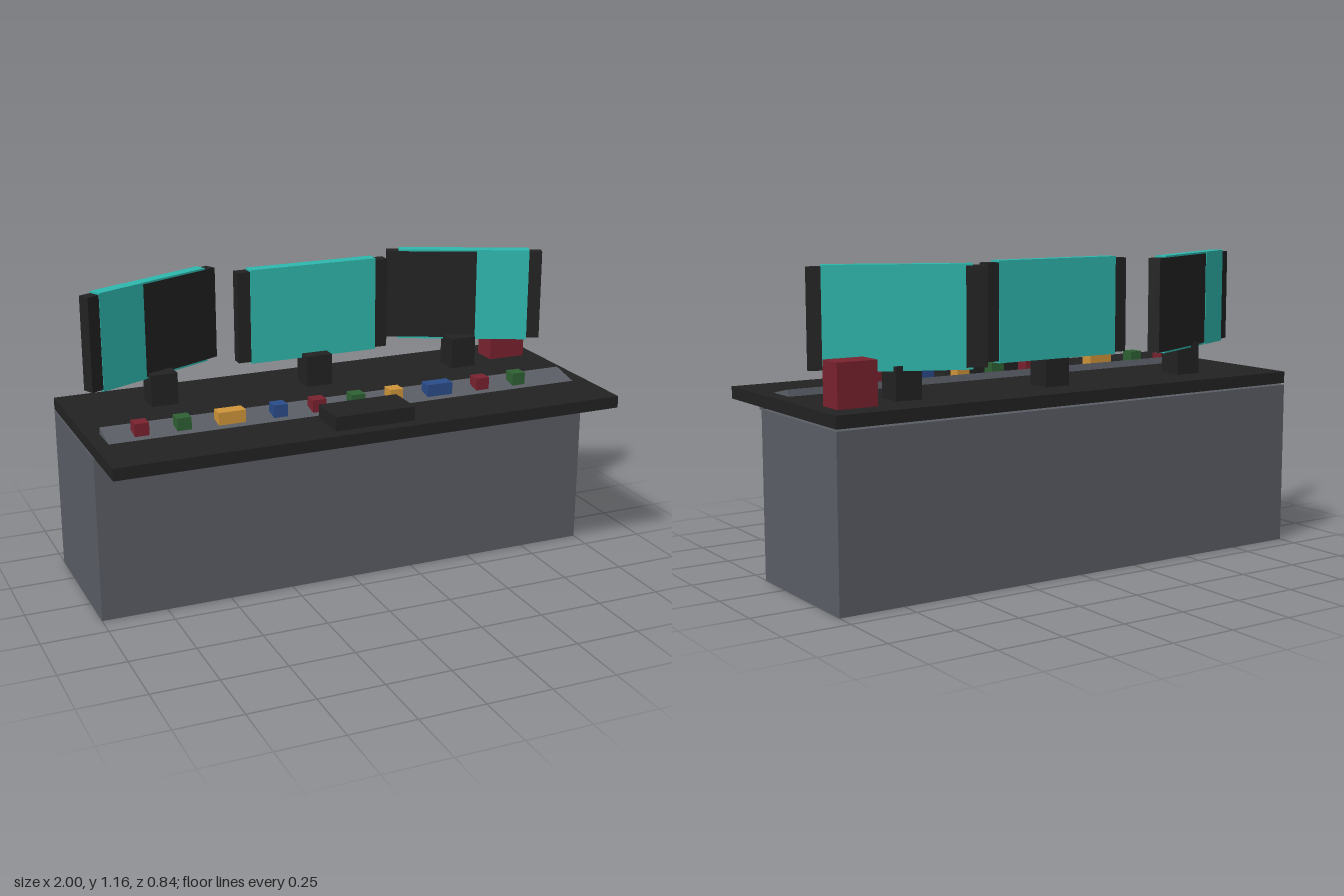
import * as THREE from 'three';

const mat = (name, color) => {
  const m = new THREE.MeshStandardMaterial({ color });
  m.name = name;
  return m;
};

export function createModel() {
  const root = new THREE.Group();
  root.name = 'controlDesk';

  const grey = mat('steelGrey', 0x5a5d65);
  const black = mat('black', 0x222222);
  const teal = mat('screenTeal', 0x2eb8ae);
  const red = mat('red', 0x7a222f);
  const green = mat('green', 0x2f6134);
  const amber = mat('amber', 0xcf9439);
  const blue = mat('blue', 0x2a4c8a);

  // Box from size and centre
  const box = (parent, name, material, [w, h, d], [x, y, z]) => {
    const mesh = new THREE.Mesh(new THREE.BoxGeometry(w, h, d), material);
    mesh.name = name;
    mesh.position.set(x, y, z);
    parent.add(mesh);
    return mesh;
  };

  // Cabinet and worktop, with a narrow shadow gap between them
  box(root, 'cabinet', grey, [2, 0.632, 0.58], [0, 0.316, -0.13]);
  box(root, 'worktop', black, [2, 0.046, 0.84], [0, 0.662, 0]);

  // Sloping button panel set into the worktop
  const panel = box(root, 'buttonPanel', grey, [1.89, 0.05, 0.26], [-0.003, 0.659, 0.1825]);
  panel.rotation.x = THREE.MathUtils.degToRad(12);

  // Row of buttons; the third and eighth are wide
  const buttonX = [-0.818, -0.66, -0.478, -0.289, -0.134, 0.024, 0.182, 0.366, 0.551, 0.711];
  const buttonColours = [red, green, amber, blue];
  buttonX.forEach((x, i) => {
    const colour = i < 8 ? buttonColours[i % 4] : [red, green][i - 8];
    const width = i === 2 || i === 7 ? 0.105 : 0.054;
    box(root, 'button', colour, [width, 0.053, 0.054], [x, 0.7115, 0.129]);
  });

  box(root, 'keyboard', black, [0.315, 0.055, 0.16], [-0.003, 0.711, 0.289]);
  box(root, 'handset', red, [0.155, 0.213, 0.105], [0.8625, 0.7385, -0.2625]);

  // Monitor: dark housing with a slightly taller screen block through it
  const monitor = (name, x, z, yaw, depth) => {
    const g = new THREE.Group();
    g.name = name;
    g.position.set(x, 0.975, z);
    g.rotation.y = yaw;
    box(g, 'housing', black, [0.627, 0.356, 0.048], [0, 0, 0]);
    box(g, 'screen', teal, [0.525, 0.37, depth], [0, 0, 0]);
    root.add(g);
    return g;
  };
  monitor('centreMonitor', -0.003, -0.24, 0, 0.052);

  // Angled side monitors: teal faces cover part of the housing
  const yaw = THREE.MathUtils.degToRad(25);
  for (const side of [-1, 1]) {
    const g = monitor(side > 0 ? 'leftMonitor' : 'rightMonitor', side * 0.658, -0.23, -side * yaw, 0.046);
    const face = (name, width, z) =>
      box(g, name, teal, [width, 0.37, 0.004], [side * (0.2625 - width / 2), 0, z]);
    face('frontScreenFace', 0.21, 0.024);
    face('backScreenFace', side > 0 ? 0.5 : 0.16, -0.024);
  }

  // Monitor stands
  for (const x of [-0.635, -0.003, 0.632])
    box(root, 'monitorStand', black, [0.105, 0.125, 0.1], [x, 0.745, -0.21]);

  return root;
}
